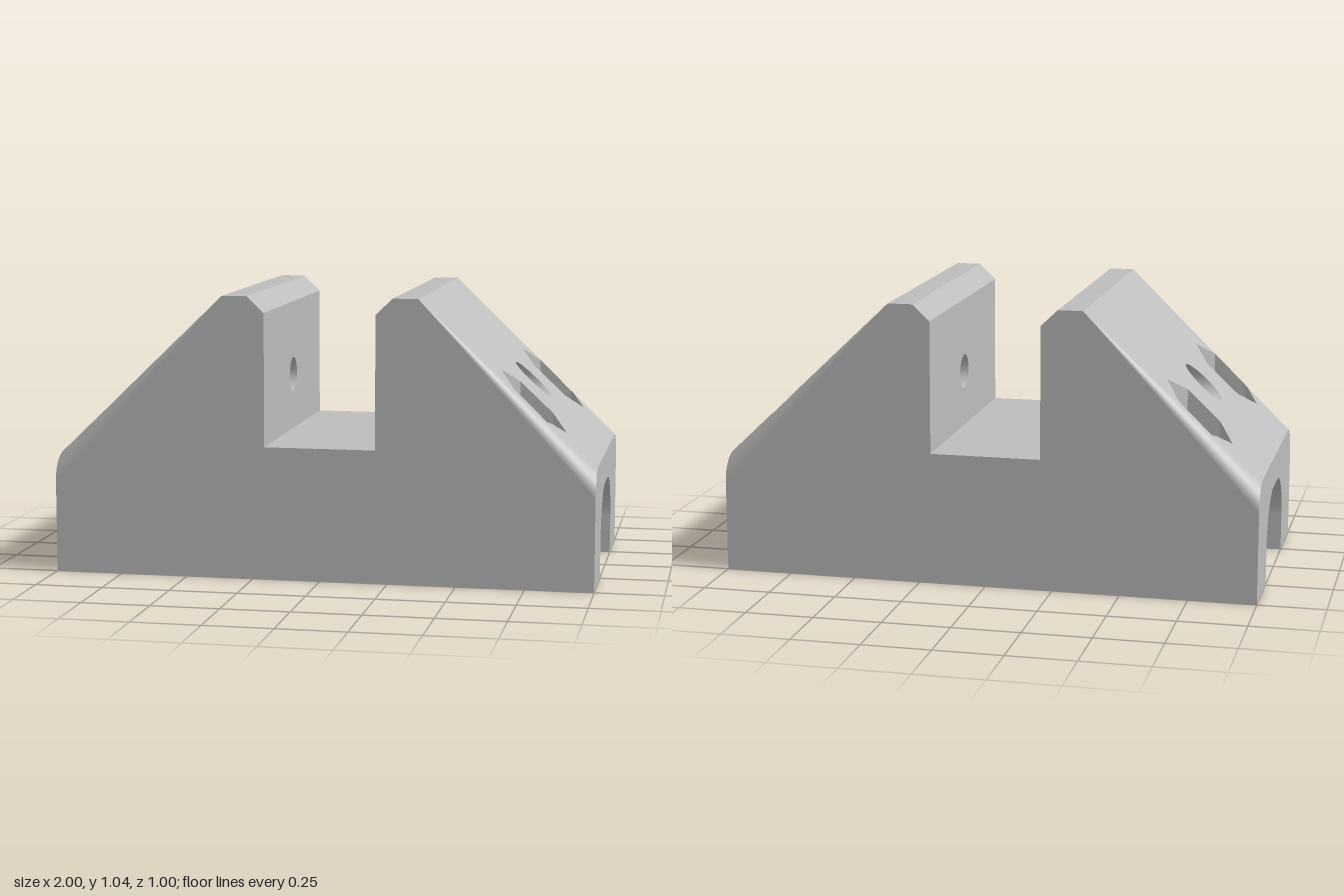
import * as THREE from 'three';

const V3 = (x, y, z) => new THREE.Vector3(x, y, z);
const V2 = (x, y) => new THREE.Vector2(x, y);

// Main dimensions
const END = 1, HALF = 0.5, TOP = 1.04, SHOULDER = 0.44, RIDGE = 0.36, ROUND = 0.1;
const SLOT = 0.205, SLOT_FLOOR = 0.49, LIP = 0.98, LIP_X = 0.268;
const BOLT_X = 0.76, BOLT_Z = 0.35, BOLT_R = 0.068, HEX_R = 0.121, HEX_FLOOR = 0.25;
const PIN_Y = 0.7, PIN_R = 0.065;
const TUN_W = 0.24, TUN_H = 0.325, TUN_R = 0.18;
const RUN = END - RIDGE, RISE = TOP - SHOULDER;

// Ring of 2D points, counter-clockwise
const ring = (cx, cy, rx, ry, n) => Array.from({ length: n }, (_, i) => {
  const a = (i / n) * Math.PI * 2;
  return V2(cx + rx * Math.cos(a), cy + ry * Math.sin(a));
});

// Quarter arc of 2D points from angle a0 to a1
const arc = (cx, cy, r, a0, a1, n) => Array.from({ length: n + 1 }, (_, i) => {
  const a = a0 + ((a1 - a0) * i) / n;
  return V2(cx + r * Math.cos(a), cy + r * Math.sin(a));
});

// Keep the part of a polygon on one side of the line a-b
function clip(poly, a, b, side) {
  const f = (p) => side * ((b.x - a.x) * (p.y - a.y) - (b.y - a.y) * (p.x - a.x));
  const out = [];
  poly.forEach((p, i) => {
    const q = poly[(i + 1) % poly.length], fp = f(p), fq = f(q);
    if (fp >= 0) out.push(p);
    if ((fp > 0 && fq < 0) || (fp < 0 && fq > 0)) out.push(p.clone().lerp(q, fp / (fp - fq)));
  });
  return out;
}

// Convex polygon minus a convex hole, as convex pieces
function cut(poly, hole) {
  const pieces = [];
  let rest = poly;
  for (let i = 0; i < hole.length && rest.length > 2; i++) {
    const a = hole[i], b = hole[(i + 1) % hole.length];
    const outside = clip(rest, a, b, -1);
    if (outside.length > 2) pieces.push(outside);
    rest = clip(rest, a, b, 1);
  }
  return pieces;
}

const fan = (poly) => poly.slice(2).map((p, i) => [poly[0], poly[i + 1], p]);

// Quads between two rows of 3D points
function band(rowA, rowB, closed) {
  const tris = [], n = rowA.length;
  for (let i = 0; i < (closed ? n : n - 1); i++) {
    const j = (i + 1) % n;
    tris.push([rowA[i], rowA[j], rowB[j]], [rowA[i], rowB[j], rowB[i]]);
  }
  return tris;
}

// Flat outline with holes, placed in space by a mapping
function flat(outline, holes, map) {
  const all = [outline, ...holes].flat();
  return THREE.ShapeUtils.triangulateShape(outline, holes).map((t) => t.map((i) => map(all[i])));
}

// Slope height, with the conical corner rounding that fades out at the ridge
function rounding(x, z) {
  const r = (ROUND * (x - RIDGE)) / RUN;
  if (r < 1e-5) return { r: 0, t: null };
  const d = (Math.abs(z) - (HALF - r)) / r;
  return { r, t: Math.asin(Math.min(1, Math.max(0, d))) };
}
function slopeY(x, z) {
  const { r, t } = rounding(x, z);
  return TOP - (RISE * (x - RIDGE)) / RUN - (r ? r * (1 - Math.cos(t)) : 0);
}

export function createModel() {
  const model = new THREE.Group();
  model.name = 'clampBlock';
  const grey = new THREE.MeshStandardMaterial({ color: 0xbdbdbd });
  grey.name = 'lightGrey';

  // Mesh from triangles; winding follows the wanted normal
  function add(name, tris, normal, sx = 1, sz = 1) {
    const pos = [], nor = [], flip = V3(sx, 1, sz);
    for (const tri of tris) {
      const pts = tri.map((p) => p.clone().multiply(flip));
      const ns = tri.map((p) => (typeof normal === 'function' ? normal(p) : normal).clone().multiply(flip).normalize());
      const face = pts[1].clone().sub(pts[0]).cross(pts[2].clone().sub(pts[0]));
      const order = face.dot(ns[0].clone().add(ns[1]).add(ns[2])) < 0 ? [0, 2, 1] : [0, 1, 2];
      for (const k of order) {
        pos.push(...pts[k].toArray());
        nor.push(...ns[k].toArray());
      }
    }
    const g = new THREE.BufferGeometry();
    g.setAttribute('position', new THREE.Float32BufferAttribute(pos, 3));
    g.setAttribute('normal', new THREE.Float32BufferAttribute(nor, 3));
    const mesh = new THREE.Mesh(g, grey);
    mesh.name = name;
    model.add(mesh);
  }
  const rect = (a, b, c, d) => fan([a, b, c, d]);

  // Front and back walls
  const half = [V2(SLOT, SLOT_FLOOR), V2(SLOT, LIP), V2(LIP_X, TOP), V2(RIDGE, TOP), V2(END, SHOULDER - ROUND), V2(END, 0)];
  const side = [...half, ...half.map((p) => V2(-p.x, p.y)).reverse()];
  for (const sz of [1, -1]) {
    add(sz > 0 ? 'frontWall' : 'backWall', flat(side, [], (p) => V3(p.x, p.y, HALF)), V3(0, 0, 1), 1, sz);
  }

  // Slot floor
  add('slotFloor', rect(V3(-SLOT, SLOT_FLOOR, -HALF), V3(SLOT, SLOT_FLOOR, -HALF), V3(SLOT, SLOT_FLOOR, HALF), V3(-SLOT, SLOT_FLOOR, HALF)), V3(0, 1, 0));

  // Arched tunnel along the base
  const tz = TUN_W - TUN_R, ty = TUN_H - TUN_R;
  const arch = [V2(TUN_W, 0), ...arc(tz, ty, TUN_R, 0, Math.PI / 2, 16), ...arc(-tz, ty, TUN_R, Math.PI / 2, Math.PI, 16), V2(-TUN_W, 0)];
  add('tunnel', band(arch.map((p) => V3(-END, p.y, p.x)), arch.map((p) => V3(END, p.y, p.x))),
    (p) => V3(0, Math.min(p.y, ty) - p.y, THREE.MathUtils.clamp(p.z, -tz, tz) - p.z));

  // Feet undersides with bolt holes
  const bolt = (sx) => ring(sx * BOLT_X, BOLT_Z, BOLT_R, BOLT_R, 32);
  for (const sz of [1, -1]) {
    add('footUnderside', flat([V2(-END, TUN_W), V2(END, TUN_W), V2(END, HALF), V2(-END, HALF)], [bolt(1), bolt(-1)], (p) => V3(p.x, 0, p.y)), V3(0, -1, 0), 1, sz);
  }

  // Sloping top regions: flat middle and rounded corner wedges
  const hexes = [1, -1].map((s) => ring(BOLT_X, s * BOLT_Z, HEX_R, HEX_R, 6));
  const pinX = END - ((PIN_Y - SHOULDER) * RUN) / RISE;
  const pinTop = ring(pinX, 0, (PIN_R * RUN) / RISE, PIN_R, 32);
  const openings = [...hexes, pinTop];
  const cutAll = (poly) => openings.reduce((list, h) => list.flatMap((p) => cut(p, h)), [poly]);
  const lift = (list) => list.flatMap(fan).map((t) => t.map((p) => V3(p.x, slopeY(p.x, p.y), p.y)));
  const corner = arc(HALF - ROUND, SHOULDER - ROUND, ROUND, Math.PI / 2, 0, 12);

  for (const sx of [1, -1]) {
    // End wall with rounded shoulders and the tunnel mouth
    const endOutline = [V2(HALF, 0), ...corner.slice().reverse(), ...corner.map((p) => V2(-p.x, p.y)), V2(-HALF, 0), ...arch.slice().reverse()];
    add('endWall', flat(endOutline, [], (p) => V3(END, p.y, p.x)), V3(1, 0, 0), sx);

    const middle = [V2(RIDGE, -HALF), V2(END, ROUND - HALF), V2(END, HALF - ROUND), V2(RIDGE, HALF)];
    add('slope', lift(cutAll(middle)), V3(RISE, RUN, 0), sx);

    for (const sz of [1, -1]) {
      const wedges = corner.slice(1).flatMap((p, i) => cutAll([V2(RIDGE, HALF), V2(END, corner[i].x), V2(END, p.x)]));
      add('roundedShoulder', lift(wedges), (p) => {
        const t = rounding(p.x, p.z).t ?? Math.PI / 4;
        const c = Math.cos(t), s = Math.sin(t);
        return V3((RISE + ROUND * (1 - c)) * c + ROUND * (1 - s) * s, RUN * c, RUN * s);
      }, sx, sz);

      // Hexagonal nut pocket: six walls and a floor
      const hex = hexes[0];
      hex.forEach((a, i) => {
        const b = hex[(i + 1) % 6];
        const edge = Array.from({ length: 9 }, (_, k) => a.clone().lerp(b, k / 8));
        const mid = a.clone().lerp(b, 0.5);
        add('pocketWall', band(edge.map((p) => V3(p.x, HEX_FLOOR, p.y)), edge.map((p) => V3(p.x, slopeY(p.x, p.y), p.y))),
          V3(BOLT_X - mid.x, 0, BOLT_Z - mid.y), sx, sz);
      });
      add('pocketFloor', flat(hex, [bolt(1)], (p) => V3(p.x, HEX_FLOOR, p.y)), V3(0, 1, 0), sx, sz);

      // Vertical bolt hole
      add('boltHole', band(bolt(1).map((p) => V3(p.x, 0, p.y)), bolt(1).map((p) => V3(p.x, HEX_FLOOR, p.y)), true),
        (p) => V3(BOLT_X - p.x, 0, BOLT_Z - p.z), sx, sz);
    }

    // Ridge top and inner chamfer
    add('ridgeTop', rect(V3(LIP_X, TOP, -HALF), V3(RIDGE, TOP, -HALF), V3(RIDGE, TOP, HALF), V3(LIP_X, TOP, HALF)), V3(0, 1, 0), sx);
    add('slotChamfer', rect(V3(SLOT, LIP, -HALF), V3(LIP_X, TOP, -HALF), V3(LIP_X, TOP, HALF), V3(SLOT, LIP, HALF)), V3(LIP - TOP, LIP_X - SLOT, 0), sx);

    // Slot wall and the cross pin hole through it
    const pin = ring(0, PIN_Y, PIN_R, PIN_R, 32);
    add('slotWall', flat([V2(-HALF, SLOT_FLOOR), V2(HALF, SLOT_FLOOR), V2(HALF, LIP), V2(-HALF, LIP)], [pin], (p) => V3(SLOT, p.y, p.x)), V3(-1, 0, 0), sx);
    add('pinHole', band(pin.map((p) => V3(SLOT, p.y, p.x)), pin.map((p) => V3(END - ((p.y - SHOULDER) * RUN) / RISE, p.y, p.x)), true),
      (p) => V3(0, PIN_Y - p.y, -p.z), sx);
  }
  return model;
}
